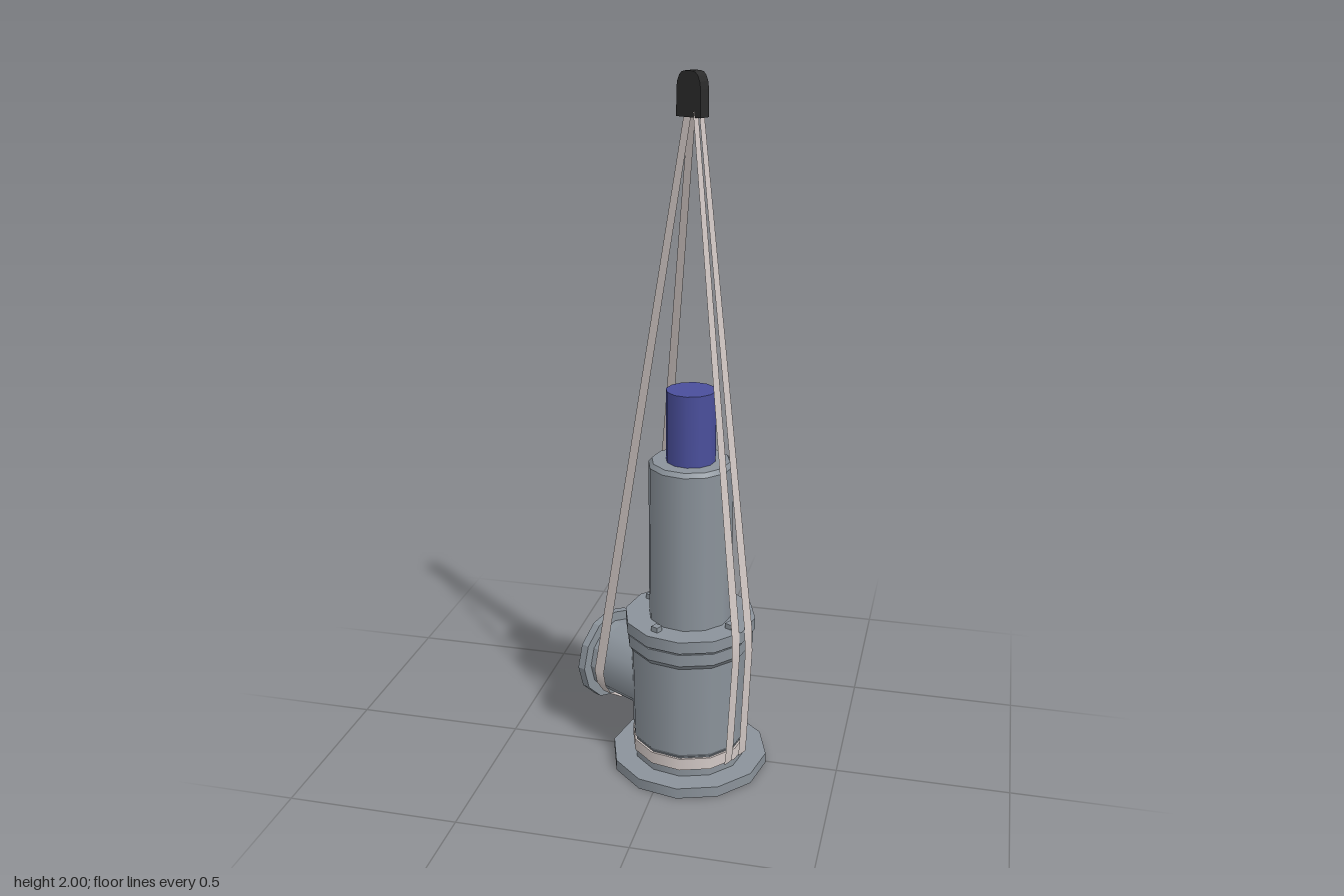
import * as THREE from 'three';

export function createModel() {
  const steel = new THREE.MeshStandardMaterial({ color: 0x8b939b });
  steel.name = 'grey steel';
  const blue = new THREE.MeshStandardMaterial({ color: 0x4a4f9c });
  blue.name = 'blue cap';
  const webbing = new THREE.MeshStandardMaterial({ color: 0xd3c9c6, side: THREE.DoubleSide });
  webbing.name = 'strap webbing';
  const black = new THREE.MeshStandardMaterial({ color: 0x2a2a2a });
  black.name = 'black hook';

  // Local frame: +z points along the side outlet
  const valve = new THREE.Group();
  valve.name = 'slungValve';
  valve.position.set(0.059, 0, 0.019);
  valve.rotation.y = Math.atan2(-0.892, -0.451);

  const add = (name, geometry, material) => {
    const mesh = new THREE.Mesh(geometry, material);
    mesh.name = name;
    valve.add(mesh);
    return mesh;
  };
  const drum = (name, y0, y1, r0, r1, material = steel, open = false) => {
    const mesh = add(name, new THREE.CylinderGeometry(r1, r0, y1 - y0, 12, 1, open), material);
    mesh.position.y = (y0 + y1) / 2;
    return mesh;
  };

  // Stacked body, from the base flange up
  drum('baseFlange', 0, 0.032, 0.23, 0.23);
  drum('neck', 0.032, 0.095, 0.165, 0.165);
  drum('bodyLowerChamfer', 0.093, 0.106, 0.162, 0.17);
  drum('body', 0.106, 0.385, 0.17, 0.174);
  drum('bodyUpperChamfer', 0.385, 0.4, 0.174, 0.185);
  drum('lowerCoverFlange', 0.4, 0.435, 0.185, 0.185);
  drum('flangeGasket', 0.435, 0.442, 0.18, 0.18);
  drum('upperCoverFlange', 0.442, 0.477, 0.19, 0.19);
  drum('bonnet', 0.477, 0.938, 0.12, 0.12);
  drum('bonnetChamfer', 0.938, 0.95, 0.12, 0.11);
  drum('cap', 0.95, 1.154, 0.07, 0.07, blue);

  // Four square bolts on the cover flange
  for (let i = 0; i < 4; i++) {
    const a = i * Math.PI / 2;
    const bolt = add('bolt', new THREE.BoxGeometry(0.022, 0.016, 0.022), steel);
    bolt.position.set(0.148 * Math.sin(a), 0.484, 0.148 * Math.cos(a));
  }

  // Side outlet: pipe closed inside the bore, with a ring flange
  const outletY = 0.243;
  const pipe = add('outletPipe', new THREE.CylinderGeometry(0.11, 0.119, 0.26, 12), steel);
  pipe.rotation.x = Math.PI / 2;
  pipe.position.set(0, outletY, 0.14);
  const ngon = (Type, r) => new Type(Array.from({ length: 12 }, (_, i) =>
    new THREE.Vector2(r * Math.cos(i * Math.PI / 6), r * Math.sin(i * Math.PI / 6))));
  const ring = (name, r, z, depth) => {
    const shape = ngon(THREE.Shape, r);
    shape.holes.push(ngon(THREE.Path, 0.094));
    const mesh = add(name, new THREE.ExtrudeGeometry(shape, { depth, bevelEnabled: false }), steel);
    mesh.position.set(0, outletY, z);
  };
  ring('outletCollar', 0.11, 0.27, 0.026);
  ring('outletFlange', 0.139, 0.296, 0.025);

  // Rounded lifting hook
  const hookShape = new THREE.Shape();
  hookShape.moveTo(-0.04, 1.885);
  hookShape.lineTo(0.04, 1.885);
  hookShape.lineTo(0.04, 1.955);
  hookShape.quadraticCurveTo(0.036, 2, 0.012, 2);
  hookShape.lineTo(-0.012, 2);
  hookShape.quadraticCurveTo(-0.036, 2, -0.04, 1.955);
  const hookGeometry = new THREE.ExtrudeGeometry(hookShape, { depth: 0.034, bevelEnabled: false, curveSegments: 4 });
  hookGeometry.translate(0, 0, -0.017).rotateY(Math.PI / 2);
  add('hook', hookGeometry, black);

  // Flat ribbon through [x, y, z, halfWidth] stations, widened along one axis
  const ribbon = (name, stations, axis) => {
    const positions = [], index = [];
    stations.forEach(([x, y, z, w], i) => {
      for (const s of [-1, 1]) {
        positions.push(x + (axis === 'x' ? s * w : 0), y, z + (axis === 'z' ? s * w : 0));
      }
      const k = i * 2;
      if (i) index.push(k - 2, k - 1, k, k - 1, k + 1, k);
    });
    const g = new THREE.BufferGeometry();
    g.setAttribute('position', new THREE.Float32BufferAttribute(positions, 3));
    g.setIndex(index);
    g.computeVertexNormals();
    add(name, g, webbing);
  };

  // Sling running down both sides of the outlet and under it
  const sling = [[0.008, 1.9, 0.008, 0.012]];
  for (let i = 0; i <= 8; i++) {
    const a = i * Math.PI / 8;
    sling.push([0.12 * Math.cos(a), outletY - 0.12 * Math.sin(a), 0.253, 0.018]);
  }
  sling.push([-0.008, 1.9, 0.008, 0.012]);
  ribbon('outletSling', sling, 'z');

  // Two straps over the cover flange down to the neck band
  for (const s of [-1, 1]) {
    ribbon('bodyStrap', [
      [s * 0.012, 1.9, -0.02, 0.01],
      [s * 0.029, 0.478, -0.189, 0.017],
      [s * 0.03, 0.4, -0.192, 0.017],
      [s * 0.032, 0.1, -0.176, 0.017],
      [s * 0.033, 0.06, -0.172, 0.017],
    ], 'x');
  }
  drum('neckBand', 0.056, 0.092, 0.171, 0.171, webbing);

  const model = new THREE.Group();
  model.name = 'valveOnSling';
  model.add(valve);
  return model;
}
